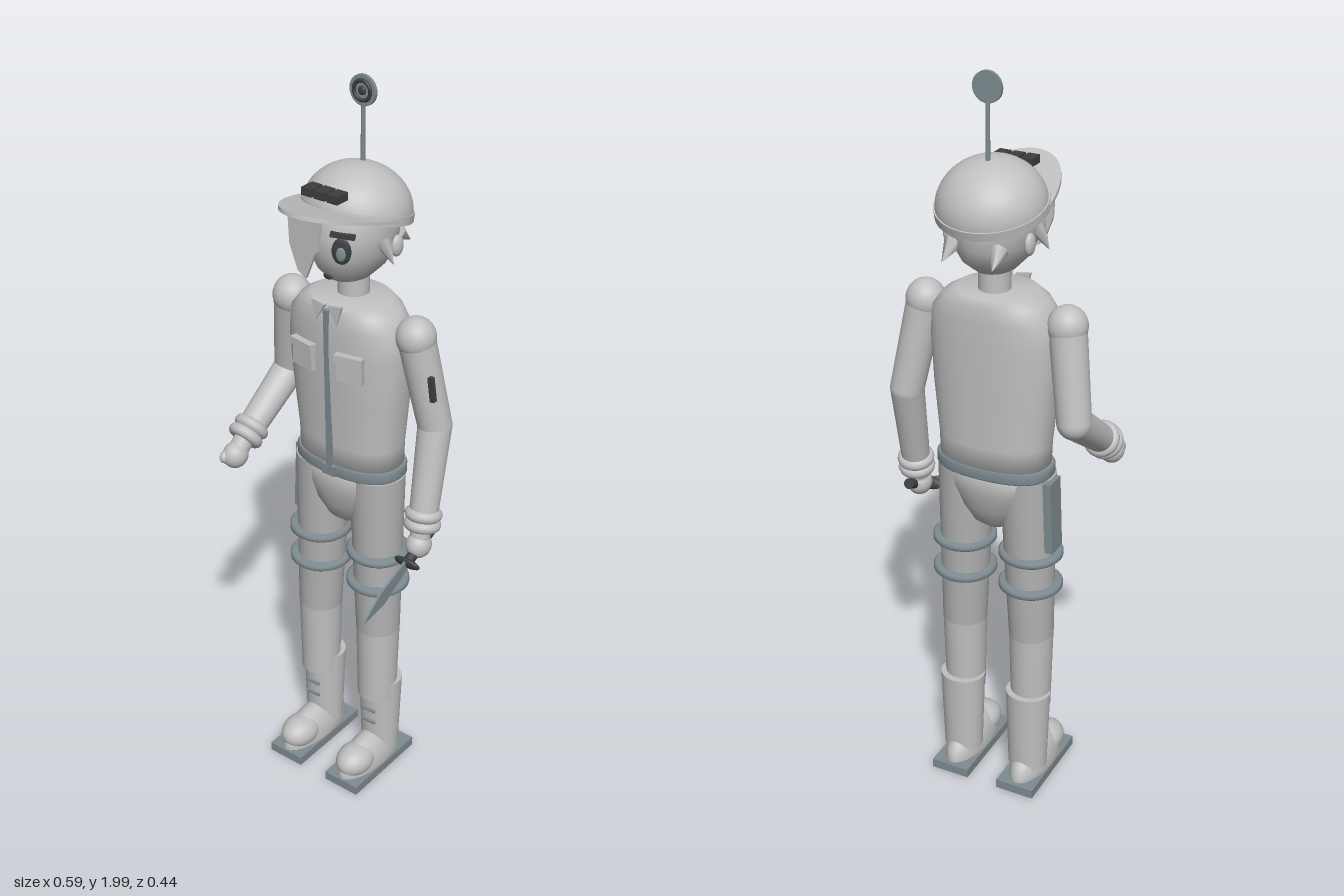
import * as THREE from 'three';

const mat = (name, color) => new THREE.MeshStandardMaterial({ name, color });
const V = (p) => new THREE.Vector3(...p);
const CX = -0.007; // body centre line

// Stacked superellipse sections [y, rx, rz, cz], closed at both ends
function loft(sections, n = 40, power = 2.4) {
  const pos = [], idx = [];
  const row = (y, rx, rz, cz) => {
    for (let i = 0; i < n; i++) {
      const a = (i / n) * Math.PI * 2, c = Math.cos(a), s = Math.sin(a), e = 2 / power;
      pos.push(Math.sign(c) * Math.abs(c) ** e * rx, y, cz + Math.sign(s) * Math.abs(s) ** e * rz);
    }
  };
  const first = sections[0], last = sections[sections.length - 1];
  [[first[0], 0.001, 0.001, first[3]], ...sections, [last[0] + 0.002, 0.001, 0.001, last[3]]].forEach((s) => row(...s));
  for (let r = 0; r < sections.length + 1; r++) {
    for (let i = 0; i < n; i++) {
      const a = r * n + i, b = r * n + (i + 1) % n;
      idx.push(a, a + n, b, b, a + n, b + n);
    }
  }
  const g = new THREE.BufferGeometry();
  g.setAttribute('position', new THREE.Float32BufferAttribute(pos, 3));
  g.setIndex(idx);
  g.computeVertexNormals();
  return g;
}

function plate(points, depth) {
  const shape = new THREE.Shape(points.map((p) => new THREE.Vector2(...p)));
  return new THREE.ExtrudeGeometry(shape, { depth, bevelEnabled: false });
}

export function createModel() {
  const root = new THREE.Group();
  root.name = 'figure';
  const cloth = mat('light grey', 0xc0c0c0);
  const trouser = mat('trouser grey', 0xb2b2b2);
  const trim = mat('slate trim', 0x7f8c91);
  const dark = mat('charcoal', 0x3c3f40);

  const add = (name, geo, m, p = [0, 0, 0], r = [0, 0, 0], parent = root) => {
    const mesh = new THREE.Mesh(geo, m);
    mesh.name = name;
    mesh.position.set(...p);
    mesh.rotation.set(...r);
    parent.add(mesh);
    return mesh;
  };
  const ball = (name, m, p, s, r, parent) => add(name, new THREE.SphereGeometry(1, 28, 20).scale(...s), m, p, r, parent);
  const box = (name, m, p, s, r, parent) => add(name, new THREE.BoxGeometry(...s), m, p, r, parent);
  // Tapered cylinder from a to b
  const limb = (name, m, a, b, ra, rb, sides = 24) => {
    const d = V(b).sub(V(a));
    const mesh = add(name, new THREE.CylinderGeometry(rb, ra, d.length(), sides), m);
    mesh.position.copy(V(a)).addScaledVector(d, 0.5);
    mesh.quaternion.setFromUnitVectors(new THREE.Vector3(0, 1, 0), d.normalize());
    return mesh;
  };
  // Pointed tuft from base to tip
  const tuft = (a, b, r = 0.016) => limb('hairTuft', cloth, a, b, r, 0.0005, 6);

  // Torso, belt and pelvis
  add('jacket', loft([
    [0.98, 0.147, 0.09, -0.067], [1.06, 0.15, 0.09, -0.066], [1.2, 0.164, 0.096, -0.063],
    [1.33, 0.172, 0.1, -0.06], [1.4, 0.165, 0.1, -0.06], [1.44, 0.135, 0.097, -0.06], [1.46, 0.1, 0.088, -0.06],
  ]), cloth, [CX, 0, 0]);
  add('belt', loft([[0.97, 0.154, 0.09, -0.066], [0.975, 0.158, 0.094, -0.066], [0.998, 0.158, 0.094, -0.066],
    [1.003, 0.154, 0.09, -0.066]]), trim, [CX, 0, 0]);
  box('beltBuckle', trim, [CX, 0.987, 0.028], [0.04, 0.028, 0.012]);
  box('zipper', trim, [CX, 1.225, 0.031], [0.014, 0.45, 0.016], [0.025, 0, 0]);
  add('pelvis', loft([[0.8, 0.03, 0.03, -0.062], [0.82, 0.065, 0.055, -0.062], [0.87, 0.1, 0.079, -0.062],
    [0.92, 0.13, 0.087, -0.063], [0.98, 0.148, 0.089, -0.065]], 40, 2.1), trouser, [CX, 0, 0]);
  for (const s of [-1, 1]) {
    box('pocket', cloth, [CX + s * 0.072, 1.305, 0.036], [0.07, 0.068, 0.018], [0, s * 0.18, 0]);
    box('pocketFlap', cloth, [CX + s * 0.072, 1.336, 0.042], [0.076, 0.02, 0.02], [0, s * 0.18, 0]);
    add('collar', plate([[0, 1.462], [s * 0.042, 1.468], [s * 0.028, 1.415]], 0.009), cloth,
      [CX + s * 0.004, 0, 0.032]).material.side = THREE.DoubleSide;
  }

  // Legs and boots
  for (const s of [-1, 1]) {
    const x = CX + s * 0.1;
    limb('thigh', trouser, [x, 0.48, -0.057], [CX + s * 0.088, 0.97, -0.06], 0.06, 0.074, 28);
    limb('shin', cloth, [x, 0.25, -0.057], [x, 0.48, -0.057], 0.054, 0.0595, 28);
    for (const y of [0.735, 0.64]) {
      add('thighRing', new THREE.LatheGeometry([[0.06, -0.01], [0.08, -0.01], [0.085, -0.005], [0.085, 0.005],
        [0.08, 0.01], [0.06, 0.01]].map((p) => new THREE.Vector2(...p)), 32), trim, [CX + s * 0.097, y, -0.057]);
    }
    add('bootShaft', new THREE.CylinderGeometry(0.062, 0.054, 0.24, 28, 1).scale(1, 1, 0.9), cloth, [x, 0.18, -0.074]);
    add('bootFoot', new THREE.SphereGeometry(1, 28, 12, 0, Math.PI * 2, 0, Math.PI / 2).scale(0.053, 0.085, 0.128),
      cloth, [x, 0.033, -0.022]);
    ball('bootToe', cloth, [x, 0.065, 0.04], [0.05, 0.045, 0.065]);
    box('sole', trim, [x, 0.019, -0.025], [0.11, 0.026, 0.27]);
    for (const y of [0.25, 0.205, 0.165]) box('lace', trim, [x, y, -0.018], [0.045, 0.006, 0.008]);
    for (let i = -1; i <= 1; i++) {
      add('bootNotch', plate([[-0.008, 0.3], [0.008, 0.3], [0, 0.265]], 0.008), trim, [x + i * 0.022, 0, -0.022]);
    }
  }
  box('holster', trim, [-0.172, 0.87, -0.075], [0.022, 0.2, 0.06], [0, 0, -0.04]);

  // Arms: shoulder, elbow, wrist, hand
  const arms = [
    [[-0.2, 1.395, -0.065], [-0.238, 1.16, -0.1], [-0.245, 1.035, 0.07], [-0.249, 0.985, 0.12]],
    [[0.188, 1.395, -0.065], [0.232, 1.15, -0.095], [0.246, 0.905, -0.035], [0.247, 0.835, -0.018]],
  ];
  for (const [sh, el, wr, ha] of arms) {
    ball('shoulder', cloth, sh, [0.051, 0.053, 0.051]);
    limb('upperArm', cloth, sh, el, 0.048, 0.044);
    ball('elbow', cloth, el, [0.044, 0.044, 0.044]);
    limb('forearm', cloth, el, wr, 0.044, 0.037);
    limb('wrist', cloth, wr, ha, 0.028, 0.026);
    const dir = V(wr).sub(V(el)).normalize();
    for (const k of [-0.014, 0.014]) {
      const cuff = add('cuff', new THREE.TorusGeometry(0.033, 0.016, 12, 28), cloth);
      cuff.position.copy(V(wr)).addScaledVector(dir, k);
      cuff.quaternion.setFromUnitVectors(new THREE.Vector3(0, 0, 1), dir);
    }
    ball('hand', cloth, ha, [0.033, 0.036, 0.036]);
  }
  ball('thumb', cloth, [-0.262, 0.985, 0.143], [0.014, 0.018, 0.02]);
  box('sleeveTab', dark, [0.254, 1.28, -0.045], [0.012, 0.065, 0.014], [0, 0, 0.15]);

  // Knife, pointing forward and down
  const knife = new THREE.Group();
  knife.name = 'knife';
  knife.position.set(0.248, 0.805, 0.033);
  knife.rotation.x = 0.43;
  root.add(knife);
  add('knifeHandle', new THREE.CylinderGeometry(0.014, 0.014, 0.12, 16), dark, [0, 0, -0.06], [Math.PI / 2, 0, 0], knife);
  ball('knifeGuard', dark, [0, 0, 0], [0.039, 0.018, 0.01], [0, 0, 0], knife);
  add('knifeBlade', plate([[0, -0.014], [0.12, -0.024], [0.207, 0], [0.12, 0.02], [0, 0.014]], 0.006)
    .rotateY(-Math.PI / 2), trim, [0.003, 0, 0], [0, 0, 0], knife);

  // Head and face
  limb('neck', cloth, [CX, 1.43, -0.07], [CX, 1.54, -0.07], 0.041, 0.04);
  add('head', loft([[1.503, 0.025, 0.03, -0.055], [1.515, 0.05, 0.065, -0.06], [1.545, 0.079, 0.1, -0.064],
    [1.59, 0.102, 0.121, -0.066], [1.64, 0.111, 0.126, -0.066], [1.7, 0.108, 0.115, -0.068],
    [1.73, 0.09, 0.09, -0.07]], 36, 2), cloth, [CX, 0, 0]);
  ball('eye', dark, [0.044, 1.62, 0.045], [0.024, 0.034, 0.006], [0, 0.45, 0]);
  ball('eyeIris', trim, [0.046, 1.614, 0.05], [0.012, 0.018, 0.004], [0, 0.45, 0]);
  box('eyelash', dark, [0.046, 1.66, 0.043], [0.06, 0.012, 0.012], [0, 0.45, -0.08]);
  ball('mouth', dark, [CX, 1.537, 0.032], [0.014, 0.008, 0.005]);
  add('fringe', plate([[-0.105, 1.7], [-0.005, 1.7], [-0.01, 1.61], [-0.022, 1.6], [-0.05, 1.53], [-0.075, 1.545],
    [-0.1, 1.61]], 0.008), cloth, [0, 0, 0.056]);
  for (const s of [-1, 1]) {
    ball('ear', cloth, [CX + s * 0.108, 1.6, -0.1], [0.012, 0.028, 0.02]);
    tuft([CX + s * 0.1, 1.63, -0.05], [CX + s * 0.135, 1.575, -0.05], 0.024);
    tuft([CX + s * 0.06, 1.6, -0.165], [CX + s * 0.066, 1.565, -0.214], 0.024);
  }

  // Cap, tipped back
  const cap = new THREE.Group();
  cap.name = 'cap';
  cap.position.set(CX, 1.675, -0.083);
  cap.rotation.x = -0.25;
  root.add(cap);
  add('capDome', new THREE.SphereGeometry(1, 36, 16, 0, Math.PI * 2, 0, Math.PI / 2).scale(0.136, 0.117, 0.136),
    cloth, [0, 0, 0], [0, 0, 0], cap).material.side = THREE.DoubleSide;
  add('capBand', new THREE.CylinderGeometry(0.139, 0.139, 0.022, 36), cloth, [0, 0, 0], [0, 0, 0], cap);
  const brim = new THREE.Shape();
  brim.absellipse(0, 0, 0.138, 0.254, 0, Math.PI, false);
  add('capVisor', new THREE.ExtrudeGeometry(brim, { depth: 0.01, bevelEnabled: false, curveSegments: 24 })
    .rotateX(Math.PI / 2), cloth, [0, 0.005, 0], [0, 0, 0], cap);
  for (const i of [-1, 0, 1]) box('capBlock', dark, [CX + i * 0.038, 1.753, 0.044], [0.031, 0.02, 0.042]);

  // Antenna
  limb('antennaRod', trim, [CX, 1.77, -0.103], [CX, 1.935, -0.103], 0.006, 0.005, 12);
  add('antennaDisc', new THREE.CylinderGeometry(0.038, 0.038, 0.008, 32), trim, [CX, 1.962, -0.103], [Math.PI / 2, 0, 0]);
  add('antennaRing', new THREE.TorusGeometry(0.024, 0.005, 8, 32), dark, [CX, 1.962, -0.098]);
  ball('antennaDot', dark, [CX, 1.962, -0.098], [0.011, 0.011, 0.006]);

  return root;
}
